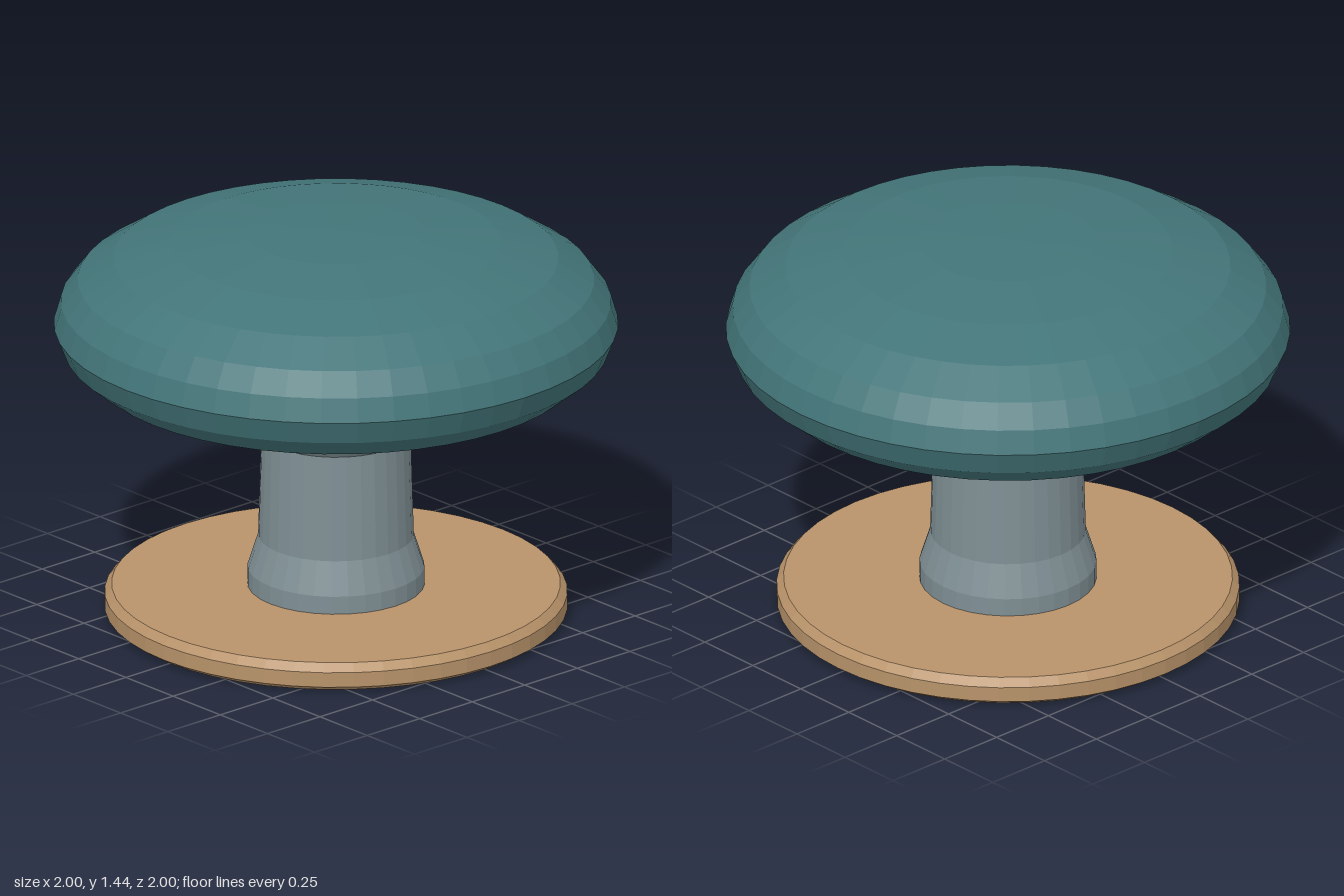
import * as THREE from 'three';

const material = (name, color) => {
  const m = new THREE.MeshStandardMaterial({ color, flatShading: true });
  m.name = name;
  return m;
};

// Turned part from a profile of [radius, height], listed bottom to top
function turned(name, profile, sides, mat) {
  const points = profile.map(([r, y]) => new THREE.Vector2(r, y));
  const mesh = new THREE.Mesh(new THREE.LatheGeometry(points, sides), mat);
  mesh.name = name;
  return mesh;
}

export function createModel() {
  const teal = material('teal', 0x437579);
  const grey = material('grey', 0x7f8f94);
  const tan = material('tan', 0xb8936a);

  const model = new THREE.Group();
  model.name = 'knob';

  // Round backplate with bevelled rims
  model.add(turned('backplate', [
    [0, 0], [0.79, 0], [0.82, 0.02], [0.82, 0.075], [0.795, 0.104], [0, 0.104],
  ], 48, tan));

  // Waisted stem flaring out under the cap
  model.add(turned('stem', [
    [0, 0.1], [0.314, 0.1], [0.314, 0.17], [0.276, 0.29], [0.265, 0.68],
    [0.385, 0.86], [0.42, 0.89], [0, 0.89],
  ], 32, grey));

  // Domed cap with a flat underside
  model.add(turned('cap', [
    [0, 0.88], [0.74, 0.88], [0.87, 0.922], [0.965, 1.0], [1, 1.088],
    [0.975, 1.173], [0.915, 1.254], [0.788, 1.336], [0.583, 1.396],
    [0.312, 1.43], [0, 1.443],
  ], 48, teal));

  return model;
}
